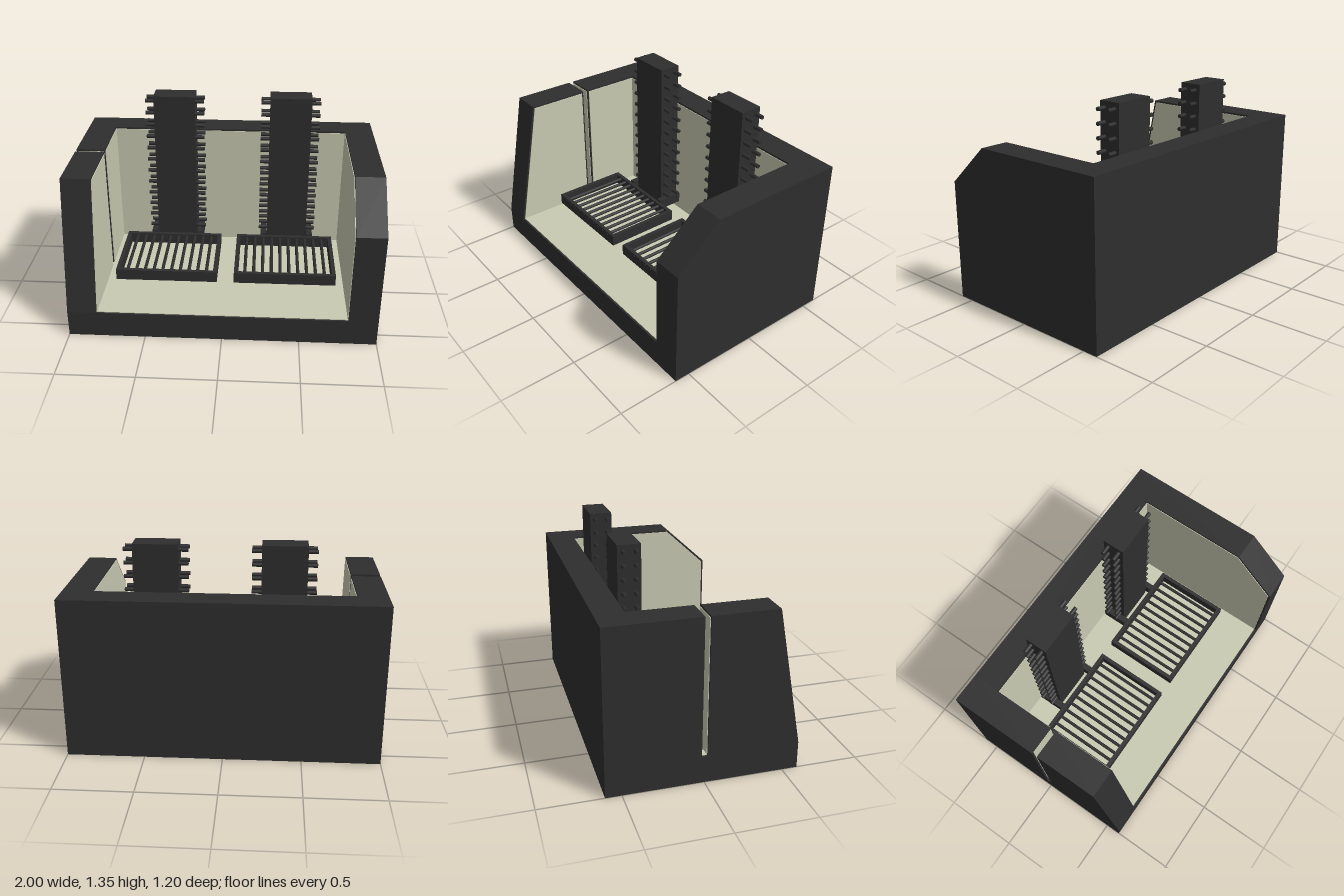
import * as THREE from 'three';

const dark = new THREE.MeshStandardMaterial({ color: 0x2e2e2e });
const stone = new THREE.MeshStandardMaterial({ color: 0xc9cab2 });

const W = 1, D = 0.6, H = 1.055, FLOOR = 0.175;   // half width, half depth, height, floor level
const INNER = 0.81, BACK = -0.42;                 // inside faces of the walls
const SLOT = [-0.016, 0.02];                      // slot in the right wall, in z

function add(parent, name, geometry, material) {
  const mesh = new THREE.Mesh(geometry, material);
  mesh.name = name;
  parent.add(mesh);
  return mesh;
}

// Box given by its limits on each axis
function box(parent, name, [x0, x1], [y0, y1], [z0, z1], material = dark) {
  const g = new THREE.BoxGeometry(x1 - x0, y1 - y0, z1 - z0);
  g.translate((x0 + x1) / 2, (y0 + y1) / 2, (z0 + z1) / 2);
  return add(parent, name, g, material);
}

// Upright slab: outline in (z, y), extruded from x0 to x1
function slab(parent, name, outline, x0, x1, material = dark) {
  const shape = new THREE.Shape(outline.map(([z, y]) => new THREE.Vector2(z, y)));
  const g = new THREE.ExtrudeGeometry(shape, { depth: x1 - x0, bevelEnabled: false });
  g.rotateY(-Math.PI / 2).translate(x1, 0, 0);
  return add(parent, name, g, material);
}

// Hollow body with pale lining
function createHousing() {
  const g = new THREE.Group();
  g.name = 'housing';
  box(g, 'base', [-W, W], [0, FLOOR], [-D, D]);
  box(g, 'backWall', [-INNER, INNER], [FLOOR, H], [-D, BACK]);

  // Left wall with a chamfered front corner
  slab(g, 'leftWall', [[-D, FLOOR], [D, FLOOR], [D, 0.79], [0.31, H], [-D, H]], INNER, W);
  // Right wall with a leaning front edge, split by the slot
  slab(g, 'rightWallBack', [[-D, FLOOR], [SLOT[0], FLOOR], [SLOT[0], H], [-D, H]], -W, -INNER);
  slab(g, 'rightWallFront', [[SLOT[1], FLOOR], [D, FLOOR], [0.435, H], [SLOT[1], H]], -W, -INNER);

  // Lining, set in slightly from the rims
  const t = 0.004, m = 0.012, top = H - m;
  box(g, 'floorLining', [-INNER, INNER], [FLOOR, FLOOR + t], [BACK, D - m], stone);
  box(g, 'backLining', [-INNER, INNER], [FLOOR, top], [BACK, BACK + t], stone);
  slab(g, 'leftLining',
    [[BACK, FLOOR], [D - m, FLOOR], [D - m, 0.782], [0.305, top], [BACK, top]], INNER - t, INNER, stone);
  slab(g, 'rightLiningBack',
    [[BACK, FLOOR], [SLOT[0] - m, FLOOR], [SLOT[0] - m, top], [BACK, top]], -INNER, -INNER + t, stone);
  slab(g, 'rightLiningFront',
    [[SLOT[1] + m, FLOOR], [D - m, FLOOR], [0.423, top], [SLOT[1] + m, top]], -INNER, -INNER + t, stone);

  // Lining of the slot
  const sx = [-W + m, -INNER - m / 2];
  box(g, 'slotFloor', [-W + m, -INNER], [FLOOR, FLOOR + t], SLOT, stone);
  box(g, 'slotSideBack', sx, [FLOOR, top], [SLOT[0], SLOT[0] + t], stone);
  box(g, 'slotSideFront', sx, [FLOOR, top], [SLOT[1] - t, SLOT[1]], stone);
  return g;
}

// Tall post with rows of pegs through its sides
function createPost(x) {
  const g = new THREE.Group();
  g.name = 'post';
  box(g, 'column', [-0.14, 0.14], [0.245, 1.35], [-0.39, -0.245]);
  const pegGeo = new THREE.CylinderGeometry(0.013, 0.013, 0.4, 12).rotateZ(Math.PI / 2);
  for (let i = 0; i < 12; i++) {
    for (const z of [-0.357, -0.278]) {
      add(g, 'peg', pegGeo, dark).position.set(0, 1.31 - i * 0.0865, z);
    }
  }
  g.position.x = x;
  return g;
}

// Slatted grate with two arms reaching back beside the post
function createGrate(x, postX) {
  const g = new THREE.Group();
  g.name = 'grate';
  const hw = 0.338, z0 = -0.208, z1 = 0.313, f = 0.026, y = [0.252, 0.327];
  box(g, 'frameFront', [-hw, hw], y, [z1 - f, z1]);
  box(g, 'frameBack', [-hw, hw], y, [z0, z0 + f]);
  for (const s of [-1, 1]) {
    const e = s * (hw - f / 2);
    box(g, 'frameSide', [e - f / 2, e + f / 2], y, [z0 + f, z1 - f]);
    const a = postX - x + s * 0.164;
    box(g, 'arm', [a - 0.021, a + 0.021], [0.27, 0.34], [-0.385, z0]);
  }
  const barGeo = new THREE.CylinderGeometry(0.011, 0.011, z1 - z0 + 0.004, 12).rotateX(Math.PI / 2);
  for (let i = 1; i <= 10; i++) {
    add(g, 'bar', barGeo, dark).position.set(-hw + f / 2 + i * (2 * hw - f) / 11, 0.308, (z0 + z1) / 2);
  }
  g.position.x = x;
  return g;
}

export function createModel() {
  const model = new THREE.Group();
  model.name = 'grillPit';
  model.add(createHousing());
  for (const [postX, grateX] of [[-0.368, -0.387], [0.42, 0.403]]) {
    model.add(createPost(postX), createGrate(grateX, postX));
  }
  return model;
}
